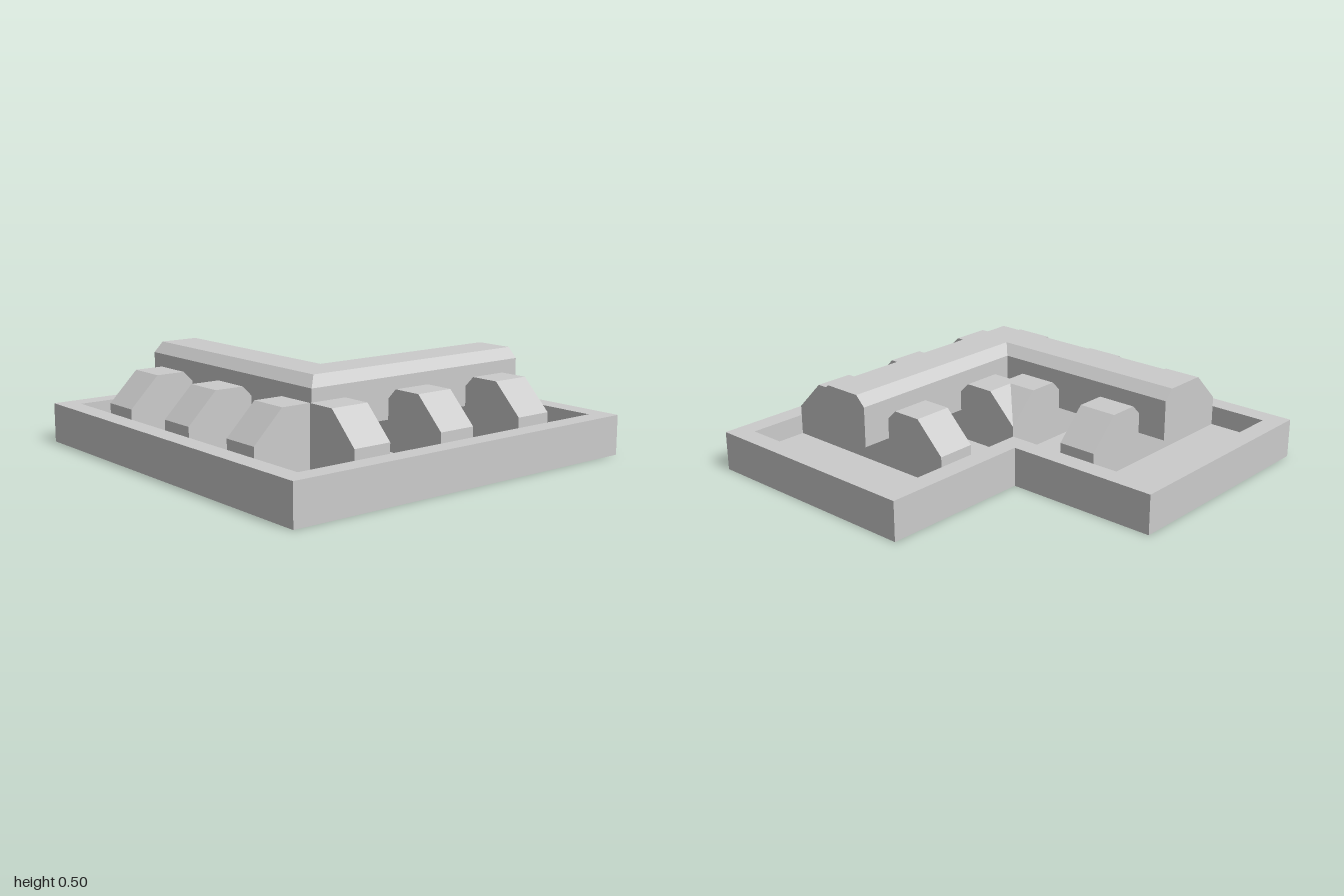
import * as THREE from 'three';

const material = new THREE.MeshStandardMaterial({ color: 0xcccccc, flatShading: true });
const FLOOR = 0.1;

const outline = (points) => points.map(([x, y]) => new THREE.Vector2(x, y));

function extrude(shape, depth) {
  return new THREE.ExtrudeGeometry(shape, { depth, bevelEnabled: false });
}

// L-shaped plan, inset by m from the outer edge (shape y is -z)
function planL(m) {
  return outline([
    [-1 + m, -1 + m], [1 - m, -1 + m], [1 - m, 0.2 - m],
    [0.2 - m, 0.2 - m], [0.2 - m, 1 - m], [-1 + m, 1 - m],
  ]);
}

// Beam with chamfered top edges, swept round a mitred corner
function beamGeometry() {
  const section = [[-0.15, 0.25], [0.15, 0.25], [0.15, 0.45], [0.1, 0.5], [-0.1, 0.5], [-0.15, 0.45]];
  const stations = [
    (d, y) => [-0.4 + d, y, -0.75],
    (d, y) => [-0.4 + d, y, 0.4 - d],
    (d, y) => [0.75, y, 0.4 - d],
  ];
  const n = section.length;
  const positions = stations.flatMap((at) => section.flatMap(([d, y]) => at(d, y)));
  const index = [];
  for (let s = 0; s < 2; s++) {
    for (let j = 0; j < n; j++) {
      const k = (j + 1) % n;
      const a = s * n + j, b = s * n + k;
      index.push(a, b, b + n, a, b + n, a + n);
    }
  }
  // End caps
  for (let j = 1; j < n - 1; j++) {
    index.push(0, j + 1, j, 2 * n, 2 * n + j, 2 * n + j + 1);
  }
  const indexed = new THREE.BufferGeometry();
  indexed.setAttribute('position', new THREE.Float32BufferAttribute(positions, 3));
  indexed.setIndex(index);
  const geometry = indexed.toNonIndexed();
  geometry.computeVertexNormals();
  return geometry;
}

export function createModel() {
  const model = new THREE.Group();
  model.name = 'cradledBeam';

  const add = (name, geometry) => {
    const mesh = new THREE.Mesh(geometry, material);
    mesh.name = name;
    model.add(mesh);
    return mesh;
  };

  // Tray: raised rim around a recessed floor
  const rim = new THREE.Shape(planL(0));
  rim.holes.push(new THREE.Path(planL(0.1)));
  add('trayRim', extrude(rim, 0.2).rotateX(-Math.PI / 2));
  add('trayFloor', extrude(new THREE.Shape(planL(0.1)), FLOOR).rotateX(-Math.PI / 2));

  // Saddle supports: two humps with a dip for the beam; the corner ones have a single hump
  const hump = [[-0.4, FLOOR], [-0.4, 0.25], [-0.45, 0.25], [-0.6, 0.4], [-0.75, 0.4], [-0.9, 0.25], [-0.9, FLOOR]];
  const mirrored = hump.slice(2).reverse().map(([x, y]) => [-0.8 - x, y]);
  const half = new THREE.Shape(outline(hump));
  const full = new THREE.Shape(outline([...mirrored, ...hump.slice(2)]));

  for (const z of [-0.6, -0.1, 0.4]) {
    add('sideSupport', extrude(z > 0.3 ? half : full, 0.2)).position.z = z;
  }
  for (const x of [-0.6, -0.1, 0.4]) {
    const support = add('frontSupport', extrude(x < -0.5 ? half : full, 0.2));
    support.rotation.y = Math.PI / 2;
    support.position.x = x;
  }

  add('cornerBeam', beamGeometry());
  return model;
}
